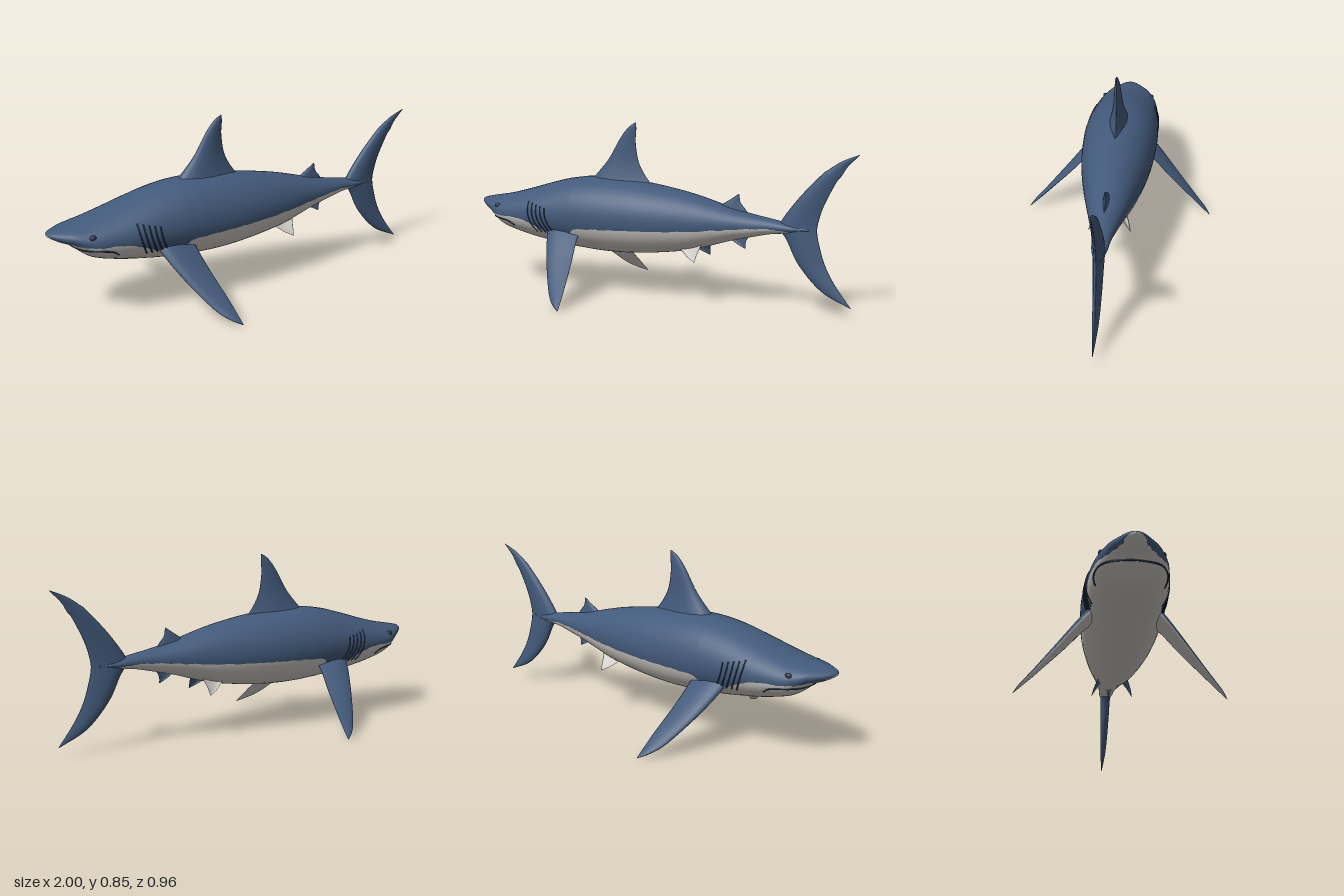
import * as THREE from 'three';

const mat = (name, color) => {
  const m = new THREE.MeshStandardMaterial({ color });
  m.name = name;
  return m;
};
const V = (x, y, z = 0) => new THREE.Vector3(x, y, z);
const smooth = (pts) => new THREE.CatmullRomCurve3(pts, false, 'catmullrom', 0.5);

// Skins closed rings; the first `upper` segments of a ring take material 0, the rest material 1
function loft(rings, upper) {
  const n = rings[0].length;
  const pos = rings.flat().flatMap((p) => [p.x, p.y, p.z]);
  const parts = [[], []];
  let volume = 0;
  const tri = (list, a, b, c) => {
    const [p, q, r] = [a, b, c].map((i) => rings[Math.floor(i / n)][i % n]);
    volume += p.dot(q.clone().cross(r));
    list.push(a, b, c);
  };
  for (let i = 0; i < rings.length - 1; i++) {
    for (let j = 0; j < n; j++) {
      const k = (j + 1) % n;
      const a = i * n + j, b = i * n + k, c = b + n, d = a + n;
      const list = parts[j < upper ? 0 : 1];
      tri(list, a, d, c);
      tri(list, a, c, b);
    }
  }
  // Turn the faces outward
  if (volume < 0) {
    for (const l of parts) {
      for (let i = 0; i < l.length; i += 3) [l[i], l[i + 1]] = [l[i + 1], l[i]];
    }
  }
  const g = new THREE.BufferGeometry();
  g.setAttribute('position', new THREE.Float32BufferAttribute(pos, 3));
  g.setIndex([...parts[0], ...parts[1]]);
  g.addGroup(0, parts[0].length, 0);
  g.addGroup(parts[0].length, parts[1].length, 1);
  g.computeVertexNormals();
  return g;
}

// Body stations: x, top, bottom, half width, height of the colour line
const STATIONS = [
  [-1, 0.42, 0.415, 0, 0.417], [-0.985, 0.43, 0.402, 0.035, 0.41], [-0.95, 0.438, 0.382, 0.07, 0.392],
  [-0.9, 0.447, 0.36, 0.11, 0.378], [-0.85, 0.456, 0.318, 0.138, 0.37], [-0.8, 0.467, 0.287, 0.156, 0.366],
  [-0.7, 0.494, 0.259, 0.172, 0.364], [-0.62, 0.518, 0.243, 0.18, 0.345], [-0.55, 0.538, 0.232, 0.184, 0.312],
  [-0.48, 0.556, 0.222, 0.187, 0.296], [-0.4, 0.57, 0.214, 0.19, 0.302], [-0.36, 0.574, 0.211, 0.19, 0.33],
  [-0.28, 0.577, 0.206, 0.188, 0.337], [-0.15, 0.57, 0.206, 0.18, 0.342], [0, 0.555, 0.218, 0.163, 0.346],
  [0.2, 0.52, 0.25, 0.127, 0.355], [0.4, 0.467, 0.31, 0.084, 0.373], [0.5, 0.445, 0.335, 0.062, 0.382],
  [0.6, 0.428, 0.358, 0.044, 0.386], [0.69, 0.412, 0.368, 0.034, 0.378], [0.78, 0.398, 0.384, 0.014, 0.386],
];
const heights = smooth(STATIONS.map((s) => V(s[0], s[1], s[2])));
const widths = smooth(STATIONS.map((s) => V(s[0], s[3], s[4])));

function section(t) {
  const h = heights.getPoint(t), w = widths.getPoint(t);
  return { x: h.x, cy: (h.y + h.z) / 2, h: (h.y - h.z) / 2, w: Math.max(w.y, 0), split: w.z };
}

// Point on the skin at a given x and y
function onSkin(x, y, side, lift = 0) {
  let lo = 0, hi = 1;
  for (let i = 0; i < 30; i++) {
    const m = (lo + hi) / 2;
    if (section(m).x < x) lo = m; else hi = m;
  }
  const s = section(lo), k = (y - s.cy) / s.h;
  return V(x, y, side * (s.w * Math.sqrt(Math.max(0, 1 - k * k)) + lift));
}

function bodyGeometry() {
  const rings = [], N = 160, U = 28, L = 20;
  for (let i = 0; i <= N; i++) {
    const s = section(i / N);
    // Slightly ragged border between back and belly
    const edge = s.split + 0.0025 * Math.sin(s.x * 137) * Math.sin(s.x * 61);
    const a = Math.asin(THREE.MathUtils.clamp((edge - s.cy) / s.h, -0.97, 0.97));
    const ring = [];
    const add = (ang) => ring.push(V(s.x, s.cy + s.h * Math.sin(ang), s.w * Math.cos(ang)));
    for (let j = 0; j < U; j++) add(a + ((Math.PI - 2 * a) * j) / U);
    for (let j = 0; j < L; j++) add(Math.PI - a + ((Math.PI + 2 * a) * j) / L);
    rings.push(ring);
  }
  return loft(rings, U);
}

// Fin from rows of [leading edge, trailing edge, half thickness], thickened along `normal`
function finGeometry(rows, normal) {
  const lead = smooth(rows.map((r) => r[0])), trail = smooth(rows.map((r) => r[1]));
  const thick = smooth(rows.map((r, i) => V(i, r[2])));
  const rings = [], N = (rows.length - 1) * 6, M = 10;
  for (let i = 0; i <= N; i++) {
    const t = i / N, a = lead.getPoint(t), b = trail.getPoint(t), th = Math.max(thick.getPoint(t).y, 0);
    const ring = [];
    for (let j = 0; j < 2 * M; j++) {
      const u = (1 - Math.cos((Math.PI * j) / M)) / 2;
      const foil = 2.6 * Math.sqrt(u) * (1 - u) * (j <= M ? 1 : -1);
      ring.push(a.clone().lerp(b, u).addScaledVector(normal, th * foil));
    }
    rings.push(ring);
  }
  return loft(rings, M);
}

export function createModel() {
  const model = new THREE.Group();
  model.name = 'shark';
  const blue = mat('slate blue back', 0x435a7b);
  const white = mat('pale belly', 0xcbc8c3);
  const dark = mat('dark slits', 0x2a3950);
  const add = (name, geo, material) => {
    const m = new THREE.Mesh(geo, material);
    m.name = name;
    model.add(m);
    return m;
  };

  add('body', bodyGeometry(), [blue, white]);

  // Upright fins on the centre line
  const upright = V(0, 0, 1);
  add('dorsalFin', finGeometry([
    [V(-0.38, 0.53), V(0.01, 0.53), 0.06], [V(-0.33, 0.58), V(-0.04, 0.575), 0.042],
    [V(-0.255, 0.665), V(-0.088, 0.655), 0.024], [V(-0.19, 0.77), V(-0.105, 0.75), 0.015],
    [V(-0.145, 0.825), V(-0.102, 0.815), 0.009], [V(-0.107, 0.85), V(-0.103, 0.848), 0.001],
  ], upright), [blue, blue]);
  add('secondDorsalFin', finGeometry([
    [V(0.32, 0.45), V(0.49, 0.435), 0.018], [V(0.355, 0.482), V(0.465, 0.468), 0.013],
    [V(0.395, 0.508), V(0.443, 0.495), 0.008], [V(0.432, 0.534), V(0.436, 0.532), 0.001],
  ], upright), [blue, blue]);
  add('analFin', finGeometry([
    [V(0.37, 0.34), V(0.5, 0.35), 0.014], [V(0.405, 0.31), V(0.478, 0.322), 0.009],
    [V(0.44, 0.29), V(0.47, 0.295), 0.005], [V(0.468, 0.276), V(0.472, 0.277), 0.001],
  ], upright), [blue, blue]);
  add('tailFin', finGeometry([
    [V(0.978, 0.044), V(0.98, 0.046), 0.001], [V(0.84, 0.11), V(0.905, 0.145), 0.014],
    [V(0.73, 0.225), V(0.855, 0.235), 0.02], [V(0.672, 0.335), V(0.825, 0.33), 0.024],
    [V(0.635, 0.39), V(0.815, 0.385), 0.026], [V(0.648, 0.43), V(0.82, 0.43), 0.025],
    [V(0.73, 0.54), V(0.845, 0.51), 0.021], [V(0.83, 0.648), V(0.897, 0.615), 0.015],
    [V(0.86, 0.672), V(0.92, 0.645), 0.012], [V(0.92, 0.712), V(0.948, 0.69), 0.008],
    [V(0.998, 0.745), V(1, 0.743), 0.001],
  ], upright), [blue, blue]);

  for (const s of [1, -1]) {
    const side = s > 0 ? 'right' : 'left';

    // Paired fins: blue above, pale below
    add(side + 'PectoralFin', finGeometry([
      [V(-0.53, 0.34, s * 0.11), V(-0.34, 0.34, s * 0.11), 0.026],
      [V(-0.51, 0.278, s * 0.178), V(-0.338, 0.28, s * 0.18), 0.022],
      [V(-0.452, 0.175, s * 0.28), V(-0.318, 0.195, s * 0.265), 0.017],
      [V(-0.372, 0.065, s * 0.395), V(-0.292, 0.1, s * 0.372), 0.011],
      [V(-0.32, 0.024, s * 0.45), V(-0.28, 0.045, s * 0.432), 0.007],
      [V(-0.275, 0.002, s * 0.48), V(-0.272, 0.004, s * 0.478), 0.001],
    ], V(0, 0.74, s * 0.67)), [blue, white]);
    add(side + 'PelvicFin', finGeometry([
      [V(0.12, 0.3, s * 0.04), V(0.28, 0.31, s * 0.04), 0.016],
      [V(0.165, 0.262, s * 0.066), V(0.265, 0.27, s * 0.066), 0.012],
      [V(0.205, 0.232, s * 0.086), V(0.257, 0.238, s * 0.086), 0.007],
      [V(0.25, 0.208, s * 0.101), V(0.253, 0.209, s * 0.1), 0.001],
    ], V(0, 0.5, s * 0.86)), [blue, white]);

    // Five gill slits following the skin
    for (let i = 0; i < 5; i++) {
      const pts = [0, 0.25, 0.5, 0.75, 1].map((u) =>
        onSkin(-0.628 + 0.026 * i + 0.045 * u * u, 0.45 - 0.006 * i - (0.15 - 0.006 * i) * u, s));
      add(side + 'GillSlit' + (i + 1), new THREE.TubeGeometry(smooth(pts), 20, 0.0038, 6), dark);
    }

    const eye = add(side + 'Eye', new THREE.SphereGeometry(0.015, 16, 12), dark);
    eye.position.copy(onSkin(-0.83, 0.412, s, -0.004));
    eye.scale.set(1.1, 0.85, 0.7);
  }

  // Mouth line wrapping around under the snout
  const lip = [[-0.872, 0.352], [-0.84, 0.352], [-0.79, 0.348], [-0.745, 0.338], [-0.718, 0.318]];
  const mouth = [
    ...lip.slice().reverse().map(([x, y]) => onSkin(x, y, 1)),
    V(-0.888, 0.352, 0),
    ...lip.map(([x, y]) => onSkin(x, y, -1)),
  ];
  add('mouthLine', new THREE.TubeGeometry(smooth(mouth), 64, 0.004, 6), dark);

  return model;
}
